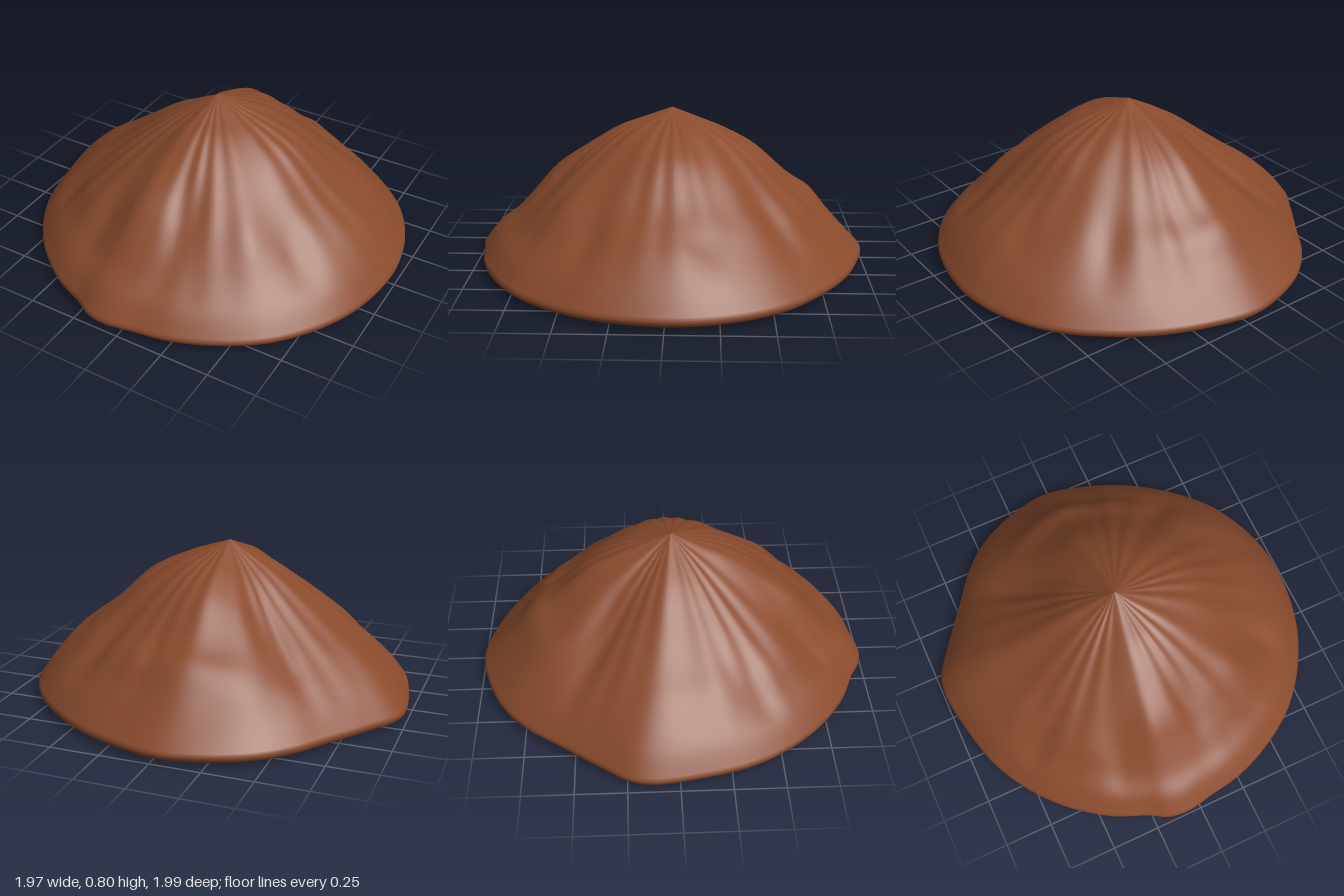
import * as THREE from 'three';

// Footprint of the mound (x, z), running from +x round through the back
const OUTLINE = [
  [0.98, 0], [0.96, -0.2], [0.9, -0.38], [0.8, -0.55], [0.64, -0.71], [0.42, -0.86], [0.2, -0.95],
  [-0.03, -1], [-0.25, -0.96], [-0.45, -0.87], [-0.6, -0.74], [-0.72, -0.58], [-0.87, -0.38],
  [-0.97, -0.23], [-0.99, -0.12], [-0.96, 0.1], [-0.9, 0.33], [-0.8, 0.52], [-0.65, 0.7],
  [-0.45, 0.85], [-0.27, 0.93], [-0.18, 0.98], [-0.08, 0.995], [0.08, 0.97], [0.25, 0.94],
  [0.45, 0.86], [0.65, 0.73], [0.82, 0.53], [0.93, 0.3],
];

// Slope heights at these fractions of the radius, every 45 degrees from +x through the back
const STEPS = [0, 0.15, 0.28, 0.43, 0.6, 0.72, 0.82, 0.92, 1];
const SLOPES = [
  [0.8, 0.74, 0.69, 0.61, 0.45, 0.36, 0.28, 0.17, 0.055],
  [0.8, 0.745, 0.69, 0.59, 0.45, 0.35, 0.25, 0.15, 0.055],
  [0.8, 0.74, 0.685, 0.6, 0.45, 0.37, 0.25, 0.14, 0.055],
  [0.8, 0.71, 0.63, 0.52, 0.4, 0.31, 0.235, 0.145, 0.055],
  [0.8, 0.72, 0.645, 0.535, 0.41, 0.33, 0.25, 0.155, 0.055],
  [0.8, 0.725, 0.65, 0.55, 0.43, 0.34, 0.24, 0.15, 0.055],
  [0.8, 0.745, 0.695, 0.6, 0.47, 0.34, 0.235, 0.155, 0.055],
  [0.8, 0.745, 0.69, 0.59, 0.45, 0.34, 0.24, 0.15, 0.055],
].map((ys) => new THREE.SplineCurve(ys.map((y, i) => new THREE.Vector2(STEPS[i], y))));

// Gullies and bulges: x, z, height change, width across the slope, length down the slope
const DENTS = [
  [-0.4, -0.38, -0.035, 0.08, 0.2], [0.13, 0.58, -0.035, 0.07, 0.14], [-0.3, 0.64, -0.03, 0.07, 0.13],
  [-0.62, 0.36, -0.03, 0.09, 0.13], [0.62, 0.36, -0.03, 0.09, 0.12], [0.42, 0.5, 0.02, 0.09, 0.12],
  [-0.1, 0.6, 0.015, 0.07, 0.14], [0.12, -0.7, -0.02, 0.06, 0.12], [0.45, -0.5, -0.025, 0.08, 0.14],
  [0.72, -0.2, -0.02, 0.08, 0.1],
];

// Rounded rim and underside: radius fraction, height
const UNDERSIDE = [[0.997, 0.035], [0.98, 0.02], [0.94, 0.012], [0.85, 0.006], [0, 0]];
const APEX = new THREE.Vector2(-0.03, -0.01);
const SIDES = 180;
const RINGS = 40;

function slopePoint(u, angle) {
  const s = ((angle / (Math.PI / 4)) + 8) % 8;
  const i = Math.floor(s) % 8;
  const a = SLOPES[i].getPoint(u);
  const b = SLOPES[(i + 1) % 8].getPoint(u);
  return a.lerp(b, THREE.MathUtils.smoothstep(s - Math.floor(s), 0, 1));
}

function dentHeight(x, z) {
  let h = 0;
  for (const [cx, cz, amount, width, length] of DENTS) {
    const r = Math.hypot(cx, cz);
    const down = ((x - cx) * cx + (z - cz) * cz) / r;
    const across = ((x - cx) * cz - (z - cz) * cx) / r;
    h += amount * Math.exp(-((across / width) ** 2) - (down / length) ** 2);
  }
  return h;
}

export function createModel() {
  const rim = new THREE.CatmullRomCurve3(
    OUTLINE.map(([x, z]) => new THREE.Vector3(x, 0, z)), true, 'centripetal');
  const rimPoints = rim.getSpacedPoints(SIDES).slice(0, SIDES);
  const positions = [];
  const indices = [];
  const rings = RINGS + 1 + UNDERSIDE.length;

  // Rings from the peak down to the rim, then in under the base
  for (let k = 0; k < rings; k++) {
    rimPoints.forEach((p, j) => {
      const dx = p.x - APEX.x;
      const dz = p.z - APEX.y;
      const angle = Math.atan2(-dz, dx);
      const under = k > RINGS;
      const point = under ? null : slopePoint(k / RINGS, angle);
      const [t, y] = under ? UNDERSIDE[k - RINGS - 1] : [point.x, point.y];
      const x = APEX.x + dx * t;
      const z = APEX.y + dz * t;
      // Fine radial ripples fade out at the peak and the rim
      const ripple = 0.004 * Math.sin(angle * 23 + 2 * Math.sin(angle * 5)) * Math.sin(Math.PI * t);
      const detail = under ? 0 : (dentHeight(x, z) + ripple) * Math.min(1, 8 * (1 - t), 8 * t);
      positions.push(x, y + detail, z);

      if (k === rings - 1) return;
      const n = (j + 1) % SIDES;
      const a = k * SIDES + j, b = a + SIDES, c = (k + 1) * SIDES + n, d = k * SIDES + n;
      indices.push(a, b, c);
      if (k > 0) indices.push(a, c, d);
    });
  }

  const geometry = new THREE.BufferGeometry();
  geometry.setAttribute('position', new THREE.Float32BufferAttribute(positions, 3));
  geometry.setIndex(indices);
  geometry.computeVertexNormals();

  const mound = new THREE.Mesh(geometry, new THREE.MeshStandardMaterial({ color: 0x8a4b2d }));
  mound.name = 'earthMound';
  const group = new THREE.Group();
  group.name = 'dirtPile';
  group.add(mound);
  return group;
}
